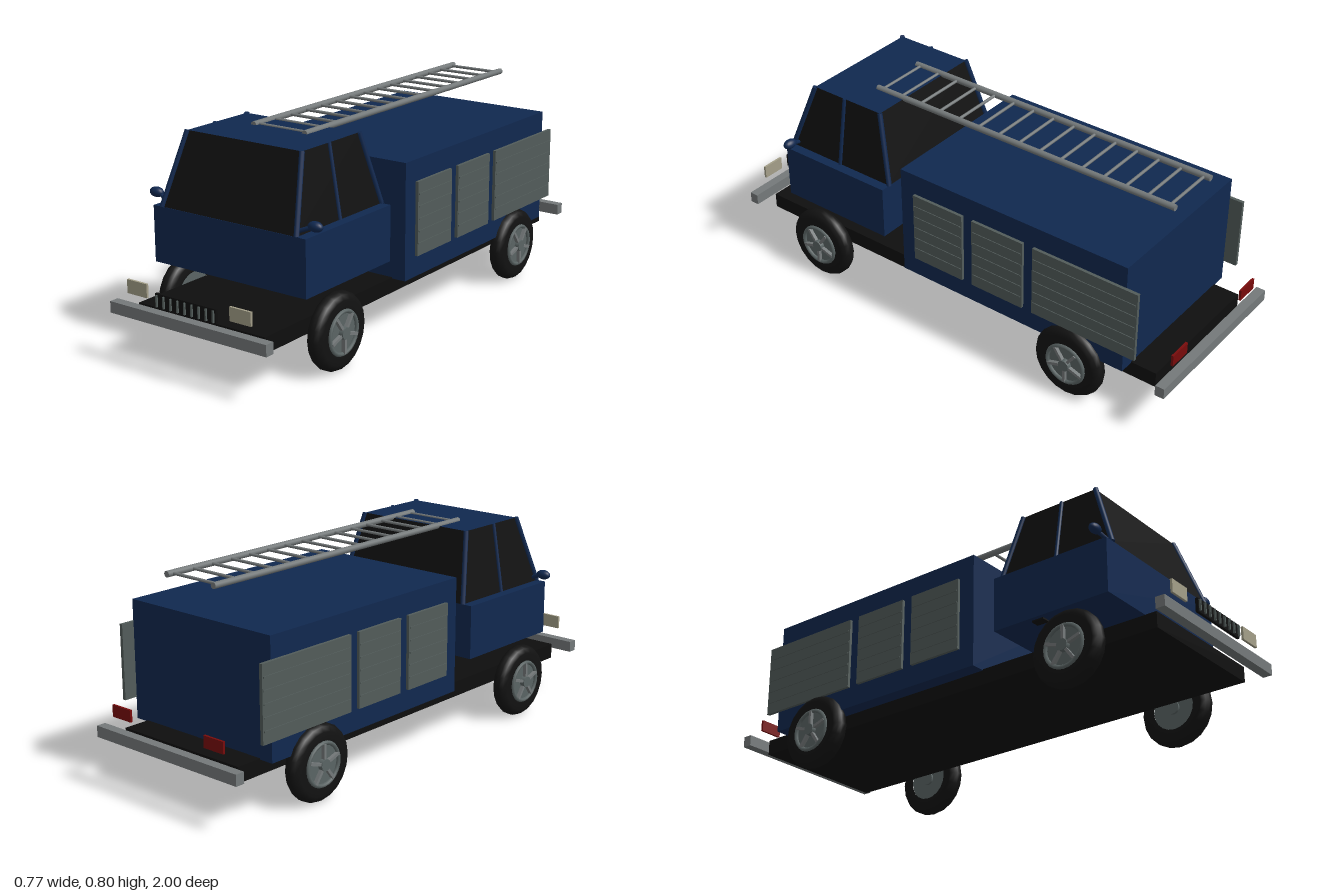
import * as THREE from 'three';

const mat = (name, color) => {
  const m = new THREE.MeshStandardMaterial({ color });
  m.name = name;
  return m;
};

export function createModel() {
  const truck = new THREE.Group();
  truck.name = 'utilityTruck';

  const blue = mat('bodyBlue', 0x10284f);
  const glass = mat('darkGlass', 0x111111);
  const black = mat('chassisBlack', 0x0e0e0e);
  const rubber = mat('tyreRubber', 0x121212);
  const steel = mat('bumperSteel', 0x74797a);
  const shutterGrey = mat('shutterGrey', 0x525c5a);
  const rimGrey = mat('rimGrey', 0x5a6464);
  const lampCream = mat('lampCream', 0xa39e88);
  const tailRed = mat('tailRed', 0x780b0b);

  const add = (name, geo, material, parent = truck) => {
    const m = new THREE.Mesh(geo, material);
    m.name = name;
    parent.add(m);
    return m;
  };
  // Box given by its ranges along each axis
  const box = (name, material, [x0, x1], [y0, y1], [z0, z1], parent) => {
    const g = new THREE.BoxGeometry(x1 - x0, y1 - y0, z1 - z0);
    g.translate((x0 + x1) / 2, (y0 + y1) / 2, (z0 + z1) / 2);
    return add(name, g, material, parent);
  };
  // Round bar between two points
  const bar = (name, material, a, b, r, parent, sides = 10) => {
    const p = new THREE.Vector3(...a), q = new THREE.Vector3(...b);
    const m = add(name, new THREE.CylinderGeometry(r, r, p.distanceTo(q), sides), material, parent);
    m.position.copy(p).add(q).multiplyScalar(0.5);
    m.quaternion.setFromUnitVectors(new THREE.Vector3(0, 1, 0), q.sub(p).normalize());
    return m;
  };

  // Chassis and main bodies
  box('chassis', black, [-0.285, 0.285], [0.15, 0.21], [-0.925, 0.92]);
  box('equipmentBody', blue, [-0.342, 0.342], [0.205, 0.655], [-0.82, 0.178]);
  box('cabLower', blue, [-0.342, 0.342], [0.31, 0.522], [0.274, 0.768]);

  // Tapered cabin: glass on four sides, blue roof
  const low = { x: 0.302, y: 0.522, front: 0.766, back: 0.274 };
  const top = { x: 0.256, y: 0.79, front: 0.672, back: 0.346 };
  const cabin = new THREE.BoxGeometry(1, 1, 1);
  const pos = cabin.attributes.position;
  for (let i = 0; i < pos.count; i++) {
    const e = pos.getY(i) > 0 ? top : low;
    pos.setXYZ(i, Math.sign(pos.getX(i)) * e.x, e.y, pos.getZ(i) > 0 ? e.front : e.back);
  }
  cabin.computeVertexNormals();
  add('cabin', cabin, [glass, glass, blue, blue, glass, glass]);

  // Pillars, mirrors and cab steps
  for (const s of [-1, 1]) {
    const pillars = [[low.front, top.front], [0.522, 0.522], [low.back, top.back]];
    pillars.forEach(([zl, zt], i) =>
      bar('pillar', blue, [s * low.x, low.y, zl], [s * top.x, top.y, zt], i === 1 ? 0.008 : 0.01));
    bar('mirrorArm', blue, [s * 0.29, 0.535, 0.745], [s * 0.345, 0.557, 0.732], 0.008);
    const mirror = add('mirror', new THREE.SphereGeometry(1, 16, 12), blue);
    mirror.scale.set(0.03, 0.019, 0.019);
    mirror.position.set(s * 0.357, 0.56, 0.733);
    const step = [s * 0.29, s * 0.325].sort((a, b) => a - b);
    box('cabStep', black, step, [0.304, 0.312], [0.43, 0.48]);
  }

  // Roller shutters with raised slat lines
  const shutters = [[-0.115, 0.113], [-0.388, -0.16], [-0.873, -0.432]];
  for (const s of [-1, 1]) {
    for (const [z0, z1] of shutters) {
      const g = new THREE.Group();
      g.name = 'shutter';
      truck.add(g);
      const span = (a, b) => (s > 0 ? [a, b] : [-b, -a]);
      box('shutterPanel', shutterGrey, span(0.341, 0.354), [0.287, 0.572], [z0, z1], g);
      for (let i = 1; i < 6; i++) {
        const y = 0.287 + i * 0.0475;
        box('slatLine', shutterGrey, span(0.353, 0.357), [y - 0.003, y + 0.003], [z0 + 0.005, z1 - 0.005], g);
      }
    }
  }

  // Bumpers, lamps and grille
  box('frontBumper', steel, [-0.352, 0.352], [0.18, 0.223], [0.958, 0.995]);
  box('rearBumper', steel, [-0.352, 0.352], [0.18, 0.223], [-1, -0.963]);
  for (const s of [-1, 1]) {
    const c = s * 0.232;
    box('headlight', lampCream, [c - 0.046, c + 0.046], [0.265, 0.316], [0.973, 0.982]);
    box('tailLight', tailRed, [c - 0.047, c + 0.047], [0.27, 0.315], [-0.985, -0.976]);
  }
  box('grille', black, [-0.136, 0.136], [0.245, 0.298], [0.982, 0.993]);
  for (let i = -4; i <= 4; i++) {
    box('grilleBar', shutterGrey, [i * 0.0318 - 0.003, i * 0.0318 + 0.003], [0.25, 0.293], [0.992, 1]);
  }

  // Ladder on the roof
  const ladder = new THREE.Group();
  ladder.name = 'ladder';
  truck.add(ladder);
  for (const s of [-1, 1]) {
    bar('ladderRail', steel, [s * 0.115, 0.791, -0.855], [s * 0.115, 0.791, 0.477], 0.012, ladder, 12);
  }
  for (let i = 0; i < 15; i++) {
    const z = -0.83 + i * 0.0918;
    bar('ladderRung', steel, [-0.115, 0.791, z], [0.115, 0.791, z], 0.006, ladder, 8);
  }

  // Wheels: lathed tyre and rim along the axle, five spokes outside
  const lathe = (pts, n) => new THREE.LatheGeometry(pts.map(p => new THREE.Vector2(...p)), n);
  const tyreGeo = lathe([[0.085, -0.03], [0.118, -0.032], [0.136, -0.023], [0.144, -0.009],
    [0.144, 0.009], [0.136, 0.023], [0.118, 0.032], [0.085, 0.03]], 20);
  const rimGeo = new THREE.CylinderGeometry(0.086, 0.086, 0.054, 24);
  const ringGeo = new THREE.TorusGeometry(0.078, 0.008, 6, 24);
  ringGeo.rotateX(Math.PI / 2);
  for (const s of [-1, 1]) {
    for (const z of [-0.6, 0.6]) {
      const wheel = new THREE.Group();
      wheel.name = 'wheel';
      add('tyre', tyreGeo, rubber, wheel);
      add('rim', rimGeo, rimGrey, wheel);
      add('rimRing', ringGeo, rimGrey, wheel).position.y = 0.031;
      add('hub', new THREE.CylinderGeometry(0.022, 0.026, 0.082, 16), rimGrey, wheel).position.y = 0.004;
      for (let i = 0; i < 5; i++) {
        const a = (i * Math.PI * 2) / 5;
        const spoke = add('spoke', new THREE.BoxGeometry(0.066, 0.014, 0.011), steel, wheel);
        spoke.position.set(Math.cos(a) * 0.043, 0.034, Math.sin(a) * 0.043);
        spoke.rotation.y = -a;
      }
      wheel.rotation.z = -s * Math.PI / 2;
      wheel.position.set(s * 0.342, 0.145, z);
      truck.add(wheel);
    }
  }
  return truck;
}
